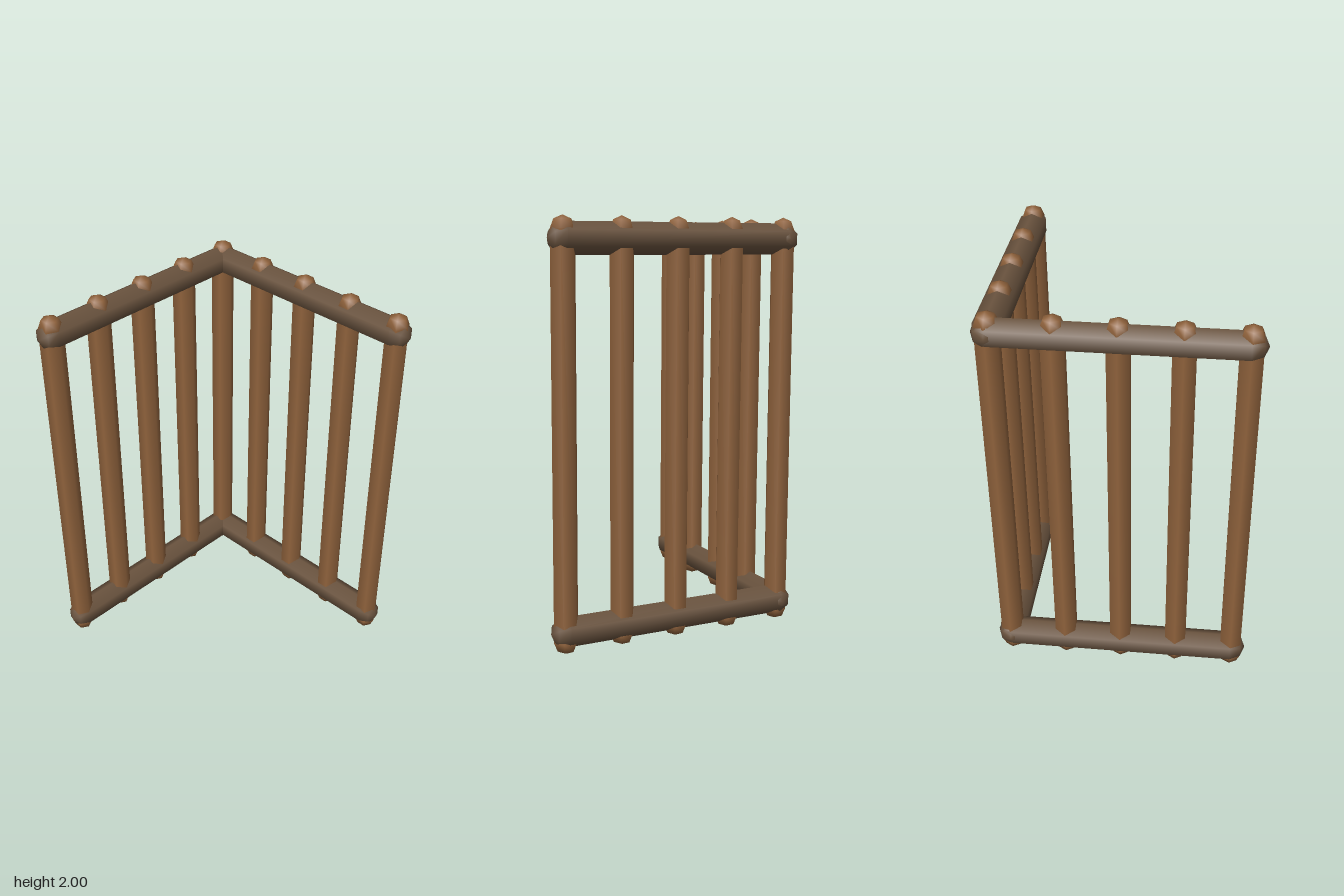
import * as THREE from 'three';

export function createModel() {
  const model = new THREE.Group();
  model.name = 'cornerFence';

  const barWood = new THREE.MeshStandardMaterial({ color: 0x8f623c });
  barWood.name = 'warm brown wood';
  const railWood = new THREE.MeshStandardMaterial({ color: 0x6b543f });
  railWood.name = 'dark brown wood';

  const half = 0.571;      // distance from the centre to each fence line
  const railR = 0.074;
  const barR = 0.06;

  // Six-sided rounded poles
  const barGeo = new THREE.CapsuleGeometry(barR, 2 - 2 * barR, 2, 6);
  const backRailGeo = new THREE.CapsuleGeometry(railR, 2 * half, 2, 6).rotateZ(Math.PI / 2);
  const sideRailGeo = backRailGeo.clone().rotateY(Math.PI / 2);

  const add = (name, geometry, material, x, y, z) => {
    const mesh = new THREE.Mesh(geometry, material);
    mesh.name = name;
    mesh.position.set(x, y, z);
    model.add(mesh);
  };

  // Horizontal rails, bottom and top
  for (const [level, y] of [['bottom', 0.103], ['top', 1.899]]) {
    add(level + 'BackRail', backRailGeo, railWood, 0, y, -half);
    add(level + 'SideRail', sideRailGeo, railWood, -half, y, 0);
  }

  // Upright bars: one shared corner post, then four along each side
  add('cornerPost', barGeo, barWood, -half, 1, -half);
  for (let i = 1; i <= 4; i++) {
    const t = -half + (i * half) / 2;
    add('backBar' + i, barGeo, barWood, t, 1, -half);
    add('sideBar' + i, barGeo, barWood, -half, 1, t);
  }
  return model;
}
